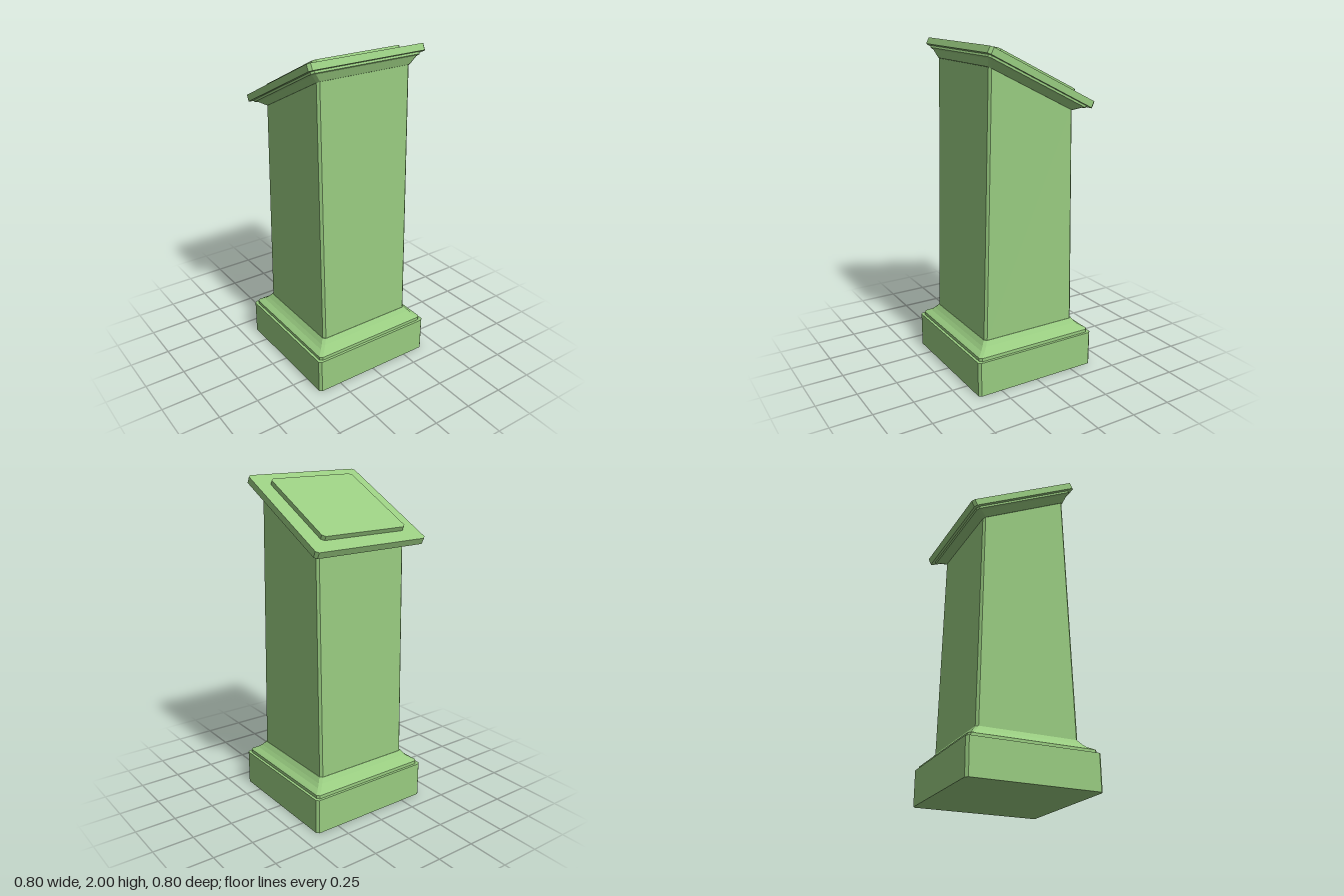
import * as THREE from 'three';

const material = new THREE.MeshStandardMaterial({ color: 0x98cb80, flatShading: true });

// Square ring with chamfered corners, counter-clockwise seen from above
function ring(half, y, chamfer, matrix) {
  const h = half, k = half - chamfer;
  const corners = [[h, k], [h, -k], [k, -h], [-k, -h], [-h, -k], [-h, k], [-k, h], [k, h]];
  return corners.map(([x, z]) => {
    const p = new THREE.Vector3(x, y, z);
    return matrix ? p.applyMatrix4(matrix) : p;
  });
}

// Skin a stack of rings from bottom to top and close both ends
function loft(name, rings) {
  const pos = [];
  const tri = (...pts) => pts.forEach((p) => pos.push(p.x, p.y, p.z));
  for (let r = 0; r < rings.length - 1; r++) {
    const a = rings[r], b = rings[r + 1];
    for (let i = 0; i < 8; i++) {
      const j = (i + 1) % 8;
      tri(a[i], a[j], b[j]);
      tri(a[i], b[j], b[i]);
    }
  }
  const bottom = rings[0], top = rings[rings.length - 1];
  for (let i = 1; i < 7; i++) {
    tri(bottom[0], bottom[i + 1], bottom[i]);
    tri(top[0], top[i], top[i + 1]);
  }
  const geometry = new THREE.BufferGeometry();
  geometry.setAttribute('position', new THREE.Float32BufferAttribute(pos, 3));
  geometry.computeVertexNormals();
  const mesh = new THREE.Mesh(geometry, material);
  mesh.name = name;
  return mesh;
}

export function createModel() {
  const model = new THREE.Group();
  model.name = 'lectern';

  // Sloped frame of the desk: local y is the desk's normal, front edge high
  const tilt = new THREE.Matrix4()
    .makeRotationX(-Math.atan(0.5))
    .setPosition(0, 1.829, -0.045);

  // Each profile is a list of [half width, height]
  const part = (name, profile, chamfer, matrix) =>
    model.add(loft(name, profile.map(([h, y]) => ring(h, y, chamfer, matrix))));

  // Foot
  part('plinth', [[0.4, 0], [0.4, 0.215]], 0.015);
  part('baseMoulding', [
    [0.384, 0.215], [0.384, 0.235], [0.373, 0.242], [0.35, 0.255], [0.332, 0.273], [0.312, 0.3],
  ], 0.015);

  // Tapering shaft from the level base to the sloped desk
  model.add(loft('shaft', [ring(0.31, 0.295, 0.014), ring(0.308, -0.085, 0.014, tilt)]));

  // Desk
  part('deskMoulding', [[0.31, -0.092], [0.345, -0.057], [0.36, -0.052], [0.36, -0.04]], 0.015, tilt);
  part('deskSlab', [[0.384, -0.04], [0.384, 0]], 0.016, tilt);
  part('readingPanel', [[0.291, 0], [0.291, 0.027]], 0.017, tilt);

  return model;
}
